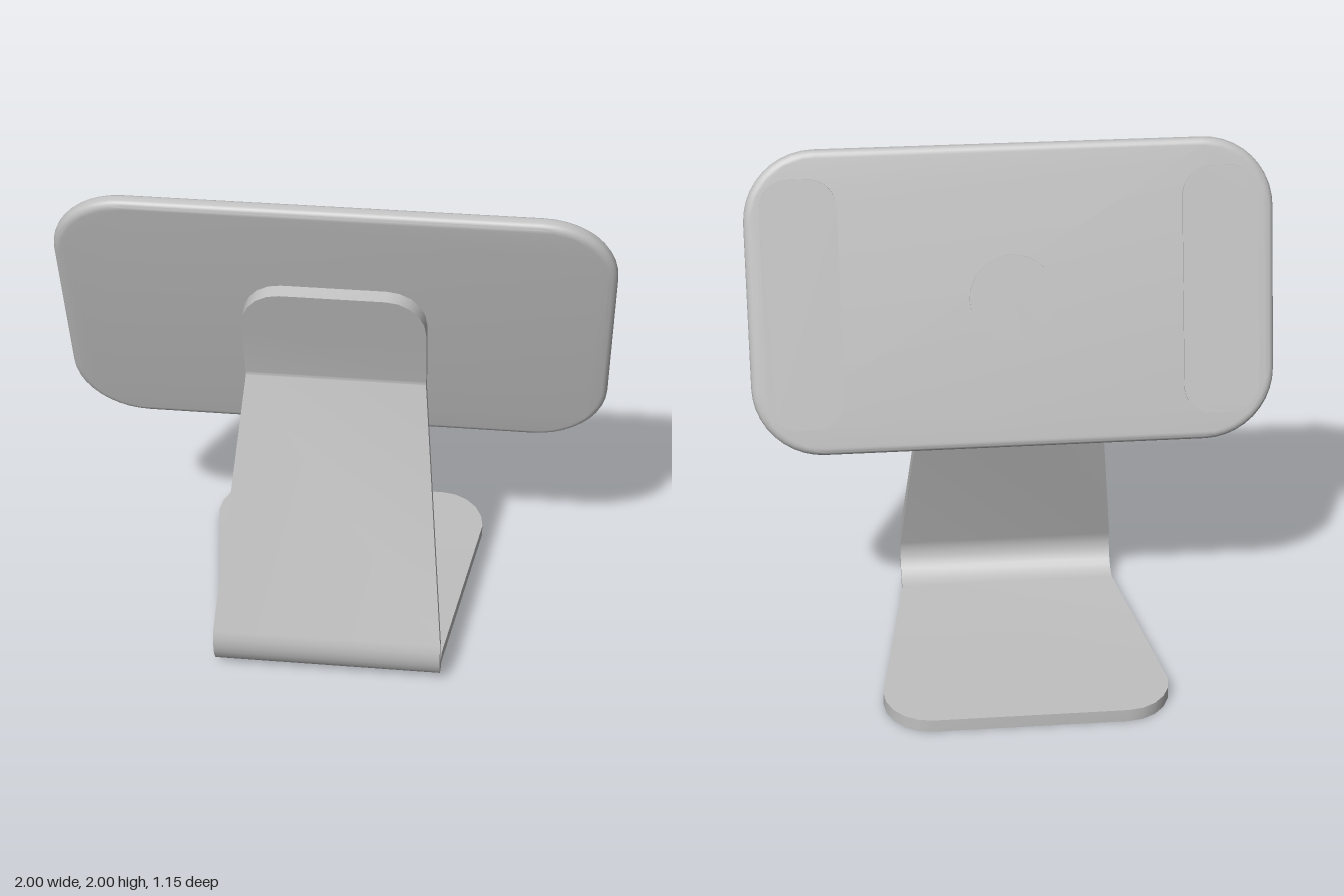
import * as THREE from 'three';
import { toCreasedNormals } from 'three/addons/utils/BufferGeometryUtils.js';

const rad = THREE.MathUtils.degToRad;
const T = 0.025;      // half thickness of the bent sheet
const LEAN = 15;      // tilt of the plate, degrees
const SLOPE = 20.5;   // backward slope of the stand's leg, degrees

function roundedRect(hw, hh, r) {
  const s = new THREE.Shape();
  s.moveTo(-hw + r, -hh);
  s.absarc(hw - r, -hh + r, r, -Math.PI / 2, 0);
  s.absarc(hw - r, hh - r, r, 0, Math.PI / 2);
  s.absarc(-hw + r, hh - r, r, Math.PI / 2, Math.PI);
  s.absarc(-hw + r, -hh + r, r, Math.PI, Math.PI * 1.5);
  return s;
}

// Stations along the bent sheet: centre (z, y), angle of the outer normal, half width
function standStations() {
  const list = [];
  const add = (z, y, deg, w) => list.push({ z, y, a: rad(deg), w });

  // rounded rear end of the foot
  for (let i = 5; i >= 0; i--) {
    const t = (i / 5) * Math.PI / 2;
    add(-0.37 - 0.205 * Math.sin(t), T, -90, 0.37 + 0.18 * Math.cos(t));
  }
  // lower bend
  const R = 0.135, cz = 0.415, cy = 0.16;
  for (let i = 0; i <= 9; i++) {
    const deg = -90 + (90 + SLOPE) * i / 9;
    add(cz + R * Math.cos(rad(deg)), cy + R * Math.sin(rad(deg)), deg, 0.435);
  }
  // upper bend, curving around a centre in front of the sheet
  const start = list[list.length - 1];
  const by = 1.18, bz = start.z - (by - start.y) * Math.tan(rad(SLOPE));
  const r = 0.06, tan = r * Math.tan(rad((SLOPE + LEAN) / 2));
  const sz = bz + tan * Math.sin(rad(SLOPE)), sy = by - tan * Math.cos(rad(SLOPE));
  const oz = sz + r * Math.cos(rad(SLOPE)), oy = sy + r * Math.sin(rad(SLOPE));
  for (let i = 0; i <= 4; i++) {
    const deg = SLOPE - (SLOPE + LEAN) * i / 4;
    add(oz - r * Math.cos(rad(deg)), oy - r * Math.sin(rad(deg)), deg, 0.335);
  }
  // rounded upper tongue
  const up = (d, w) => add(bz + d * Math.sin(rad(LEAN)), by + d * Math.cos(rad(LEAN)), -LEAN, w);
  for (let i = 0; i <= 5; i++) {
    const t = (i / 5) * Math.PI / 2;
    up(0.285 + 0.17 * Math.sin(t), 0.19 + 0.145 * Math.cos(t));
  }
  return list;
}

// Sweep a rectangular section through the stations
function sweep(stations) {
  const pos = [];
  const rings = stations.map(({ z, y, a, w }) => {
    const dz = T * Math.cos(a), dy = T * Math.sin(a);
    return [[w, y + dy, z + dz], [-w, y + dy, z + dz], [-w, y - dy, z - dz], [w, y - dy, z - dz]];
  });
  const quad = (a, b, c, d) => pos.push(...a, ...b, ...c, ...a, ...c, ...d);
  for (let i = 0; i < rings.length - 1; i++) {
    for (let k = 0; k < 4; k++) {
      const n = (k + 1) % 4;
      quad(rings[i][k], rings[i + 1][k], rings[i + 1][n], rings[i][n]);
    }
  }
  const [a, b, c, d] = rings[0], [e, f, g, h] = rings[rings.length - 1];
  quad(a, b, c, d);
  quad(h, g, f, e);
  const geo = new THREE.BufferGeometry();
  geo.setAttribute('position', new THREE.Float32BufferAttribute(pos, 3));
  return toCreasedNormals(geo, 0.6);
}

export function createModel() {
  const model = new THREE.Group();
  model.name = 'tabletStand';
  const metal = new THREE.MeshStandardMaterial({ color: 0xc0c0c0 });
  metal.name = 'silverGrey';

  const mesh = (name, geo, parent) => {
    const m = new THREE.Mesh(geo, metal);
    m.name = name;
    parent.add(m);
    return m;
  };

  // Foot, leg and tongue in one bent sheet
  mesh('bentStand', sweep(standStations()), model);

  // Tilted plate; its local -z side is the back
  const holder = new THREE.Group();
  holder.name = 'tiltedHolder';
  holder.position.set(0, 1.4375, 0.1875);
  holder.rotation.x = rad(LEAN);
  model.add(holder);

  const plateGeo = new THREE.ExtrudeGeometry(roundedRect(0.97, 0.5515, 0.24), {
    depth: 0.002, bevelThickness: 0.029, bevelSize: 0.03, bevelSegments: 5, curveSegments: 5,
  });
  plateGeo.translate(0, 0, -0.001);
  mesh('plate', toCreasedNormals(plateGeo, 0.6), holder);

  // Raised grip pads on the back
  for (const [side, name] of [[1, 'leftPad'], [-1, 'rightPad']]) {
    const geo = new THREE.ExtrudeGeometry(roundedRect(0.145, 0.475, 0.11), {
      depth: 0.012, bevelEnabled: false, curveSegments: 6,
    });
    mesh(name, toCreasedNormals(geo, 0.6), holder).position.set(side * 0.795, 0, -0.04);
  }

  // Raised round disc in the middle of the back
  const disc = mesh('centreDisc', new THREE.CylinderGeometry(0.165, 0.165, 0.012, 32), holder);
  disc.rotation.x = Math.PI / 2;
  disc.position.z = -0.034;

  return model;
}
